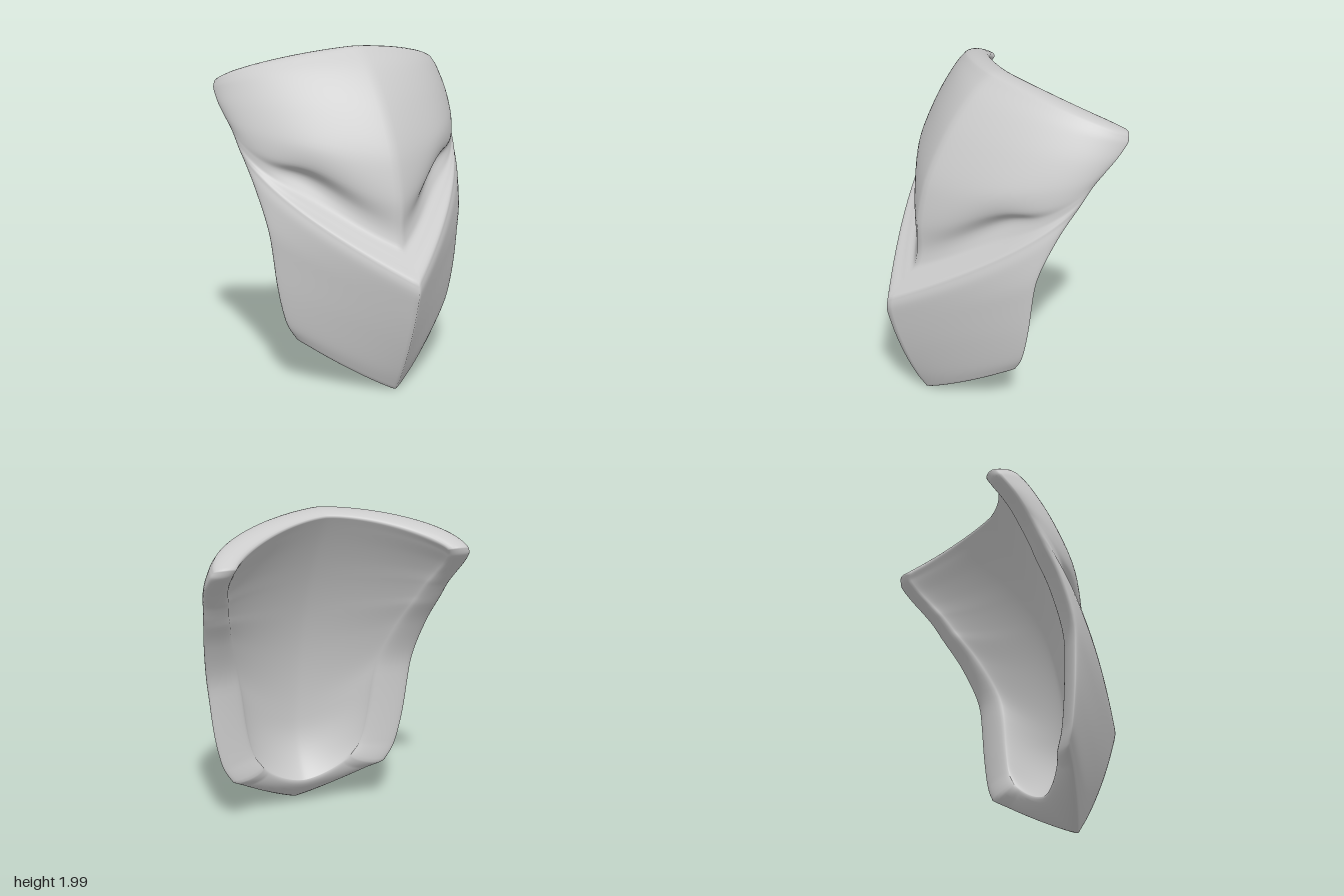
import * as THREE from 'three';

// Section keys of the outer shell from chin to crown:
// centre y, centre z, edge x, edge y, edge z, side roundness, eye socket depth
const KEYS = [
  [0.03, 0.32, 0.495, 0.335, 0.005, 1.08, 0],
  [0.15, 0.39, 0.55, 0.43, 0, 1.08, 0],
  [0.35, 0.48, 0.603, 0.65, -0.005, 1.1, 0],
  [0.55, 0.548, 0.64, 0.95, -0.015, 1.15, 0],
  [0.69, 0.582, 0.685, 1.25, -0.125, 1.35, 0],
  [0.745, 0.575, 0.71, 1.41, -0.23, 1.47, 0],
  [0.84, 0.47, 0.72, 1.46, -0.262, 1.52, 0.015],
  [0.92, 0.39, 0.725, 1.5, -0.288, 1.6, 0.05],
  [1.02, 0.372, 0.73, 1.54, -0.316, 1.7, 0.08],
  [1.15, 0.368, 0.735, 1.57, -0.34, 1.7, 0.03],
  [1.4, 0.318, 0.75, 1.635, -0.395, 1.7, 0],
  [1.7, 0.17, 0.76, 1.71, -0.468, 1.7, 0],
  [1.91, 0, 0.755, 1.775, -0.53, 1.7, 0],
  [2.005, -0.12, 0.74, 1.81, -0.55, 1.7, 0],
];
const STEPS = 6, ROWS = (KEYS.length - 1) * STEPS, COLS = 72, RIM = 10, BULGE = 0.035;
const { lerp, clamp, smoothstep } = THREE.MathUtils;

// Overshoot-free interpolation of one column of the keys
function sample(col, t) {
  const n = KEYS.length;
  const i = Math.min(Math.floor(t), n - 2), f = t - i;
  const step = (k) => KEYS[k + 1][col] - KEYS[k][col];
  const slope = (k) => {
    if (k === 0) return step(0);
    if (k === n - 1) return step(n - 2);
    const a = step(k - 1), b = step(k);
    return a * b > 0 ? (2 * a * b) / (a + b) : 0;
  };
  const f2 = f * f, f3 = f2 * f;
  return KEYS[i][col] * (2 * f3 - 3 * f2 + 1) + slope(i) * (f3 - 2 * f2 + f)
    + KEYS[i + 1][col] * (3 * f2 - 2 * f3) + slope(i + 1) * (f3 - f2);
}

// Point on the outer or inner shell; u runs from -1 to 1 across the face
function shellPoint(row, u, inner) {
  const t = row / STEPS, s = Math.abs(u);
  const [yc, zc, xe, ye, ze, round, dent] = KEYS[0].map((_, c) => sample(c, t));
  const side = (q) => Math.sign(u) * (1 - Math.pow(1 - s, q));
  if (inner) {
    // Smooth hollow whose centre line arches from chin to crown, with a thicker wall below
    const w = (ye - 0.335) / (1.81 - 0.335);
    const yi = 0.22 + 1.75 * Math.pow(w, 1.5);
    const zi = 0.235 - (yi > 0.55 ? 0.245 : 1.2) * (yi - 0.55) ** 2;
    const low = 1 - smoothstep(w, 0.3, 1);
    return new THREE.Vector3(
      (xe - 0.13 - 0.08 * low) * side(1.2),
      lerp(yi, ye + 0.04 * (1 - smoothstep(w, 0, 0.15)), Math.pow(s, 1.6)),
      lerp(zi, ze + 0.035 * low, Math.pow(s, 1.5)));
  }
  // Rounded forehead and chin, straight cheeks, arched eye sockets
  const f = Math.pow(s, 1 + 0.1 * (1 - smoothstep(t, 0, 2))
    + 0.2 * smoothstep(t, 7.5, 10) + 0.18 * smoothstep(t, 10, 13));
  const socket = Math.exp(-(((s - 0.38) / 0.22) ** 2));
  const lift = 0.08 * Math.exp(-(((t - 8.3) / 1.6) ** 2));
  return new THREE.Vector3(
    xe * side(round),
    lerp(yc, ye, f) + lift * socket,
    lerp(zc, ze, f) - dent * socket);
}

function maskGeometry() {
  const points = [], index = [];
  const W = COLS + 1, SHEET = W * (ROWS + 1);
  const quad = (a, b, c, d) => index.push(a, b, c, a, c, d);

  // Outer and inner shells
  for (const inner of [false, true]) {
    for (let i = 0; i <= ROWS; i++)
      for (let j = 0; j <= COLS; j++) points.push(shellPoint(i, (2 * j) / COLS - 1, inner));
    const o = inner ? SHEET : 0;
    for (let i = 0; i < ROWS; i++)
      for (let j = 0; j < COLS; j++) {
        const a = o + i * W + j, b = a + 1, c = b + W, d = a + W;
        if (inner) quad(a, d, c, b);
        else quad(a, b, c, d);
      }
  }

  // Boundary loop, counter-clockwise from the front
  const loop = [];
  for (let j = 0; j < COLS; j++) loop.push([0, j]);
  for (let i = 0; i < ROWS; i++) loop.push([i, COLS]);
  for (let j = COLS; j > 0; j--) loop.push([ROWS, j]);
  for (let i = ROWS; i > 0; i--) loop.push([i, 0]);

  // Outward direction at each boundary point, level along the sides
  const outs = loop.map(([i, j]) => {
    const ni = clamp(i, 1, ROWS - 1), nj = clamp(j, 1, COLS - 1);
    const out = points[i * W + j].clone().sub(points[ni * W + nj]);
    if (i > 0 && i < ROWS) out.y = 0;
    return out.normalize();
  });

  // Rounded rim joining the two shells, its direction eased around the corners
  const rings = loop.map(([i, j], n) => {
    const id = i * W + j, front = points[id], back = points[SHEET + id];
    const out = new THREE.Vector3();
    for (let k = -5; k <= 5; k++) out.add(outs[(n + k + loop.length) % loop.length]);
    out.normalize();
    const ring = [id];
    for (let k = 1; k < RIM; k++) {
      const a = (Math.PI * k) / RIM;
      ring.push(points.length);
      points.push(front.clone().lerp(back, (1 - Math.cos(a)) / 2)
        .addScaledVector(out, BULGE * Math.sin(a)));
    }
    ring.push(SHEET + id);
    return ring;
  });
  rings.forEach((ring, n) => {
    const next = rings[(n + 1) % rings.length];
    for (let k = 0; k < RIM; k++) quad(ring[k], ring[k + 1], next[k + 1], next[k]);
  });

  const geometry = new THREE.BufferGeometry().setFromPoints(points);
  geometry.setIndex(index);
  geometry.computeVertexNormals();
  return geometry;
}

export function createModel() {
  const group = new THREE.Group();
  group.name = 'mask';
  const shell = new THREE.Mesh(maskGeometry(), new THREE.MeshStandardMaterial({ color: 0xcccccc }));
  shell.name = 'maskShell';
  // Stand the chin on the ground
  shell.geometry.computeBoundingBox();
  shell.position.y = -shell.geometry.boundingBox.min.y;
  group.add(shell);
  return group;
}
